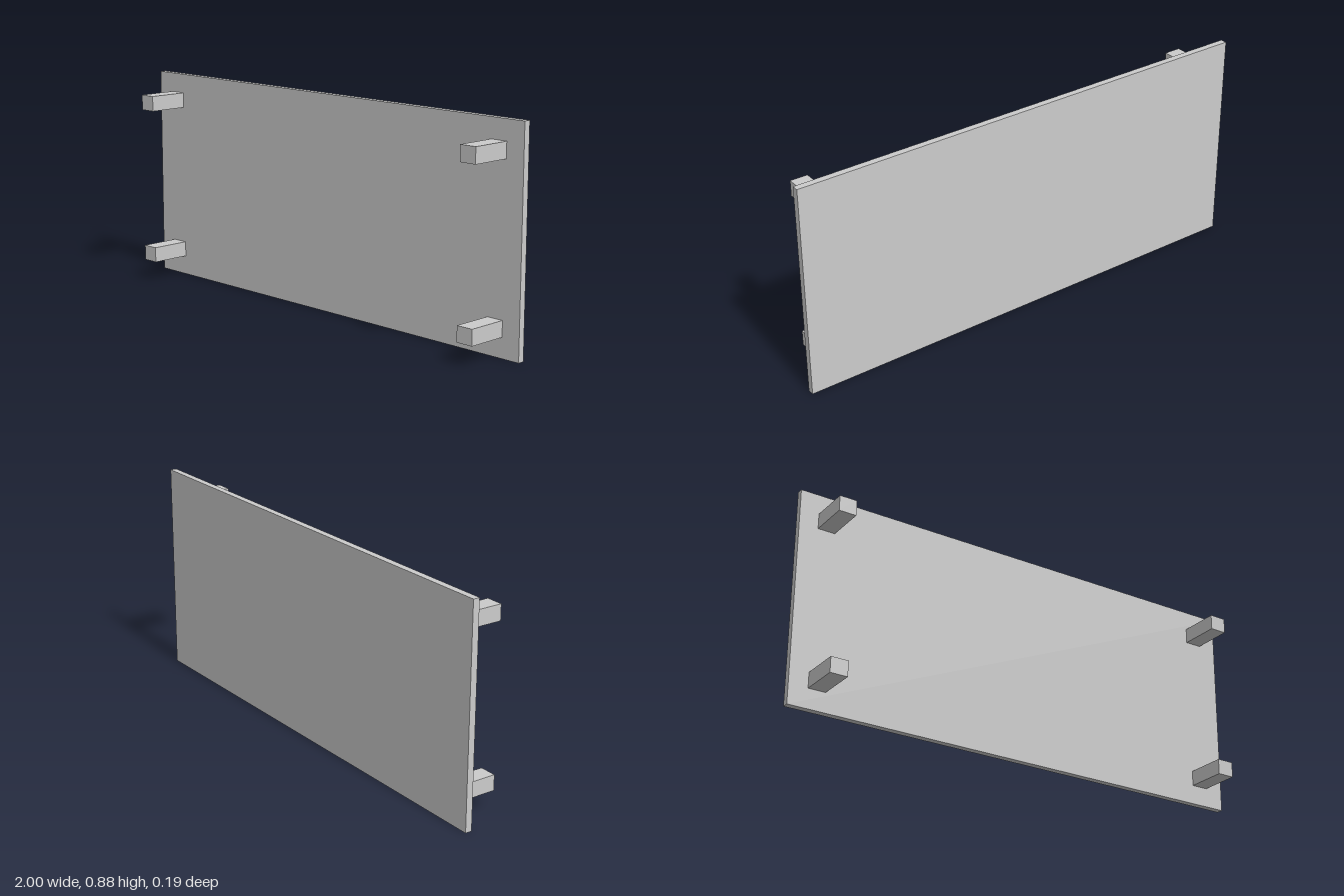
import * as THREE from 'three';

export function createModel() {
  const model = new THREE.Group();
  const material = new THREE.MeshStandardMaterial({ color: 0xcccccc, flatShading: true });

  const height = 0.875, back = -0.097, front = 0.097, panelFront = -0.07;

  const addBox = (name, size, position) => {
    const mesh = new THREE.Mesh(new THREE.BoxGeometry(...size), material);
    mesh.name = name;
    mesh.position.set(...position);
    model.add(mesh);
  };

  // Thin upright table top
  addBox('tableTop', [2, height, panelFront - back], [0, height / 2, (panelFront + back) / 2]);

  // Four short legs pointing forward, mirrored about the panel centre
  for (const [side, sx] of [['left', 1], ['right', -1]]) {
    for (const [level, sy] of [['Upper', 1], ['Lower', -1]]) {
      addBox(`${side}${level}Leg`, [0.071, 0.063, front - panelFront],
        [sx * 0.886, height / 2 + sy * 0.326, (front + panelFront) / 2]);
    }
  }
  return model;
}
